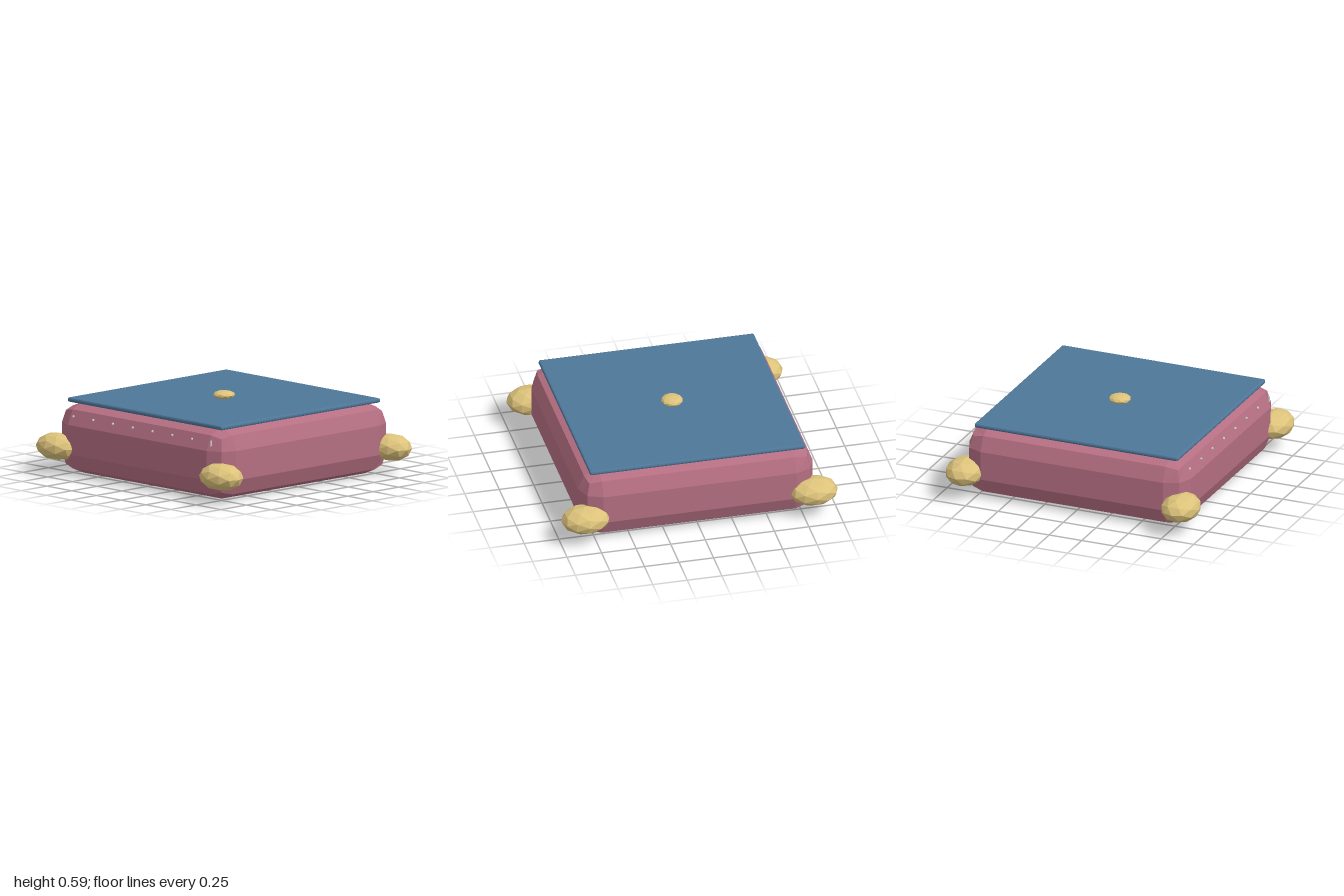
import * as THREE from 'three';
import { RoundedBoxGeometry } from 'three/addons/geometries/RoundedBoxGeometry.js';

const mat = (color) => new THREE.MeshStandardMaterial({ color, flatShading: true });

export function createModel() {
  const group = new THREE.Group();
  const rose = mat(0xb56f82), blue = mat(0x4f7799), gold = mat(0xdcc27a), grey = mat(0xcccccc);

  const add = (name, geometry, material, x, y, z) => {
    const mesh = new THREE.Mesh(geometry, material);
    mesh.name = name;
    mesh.position.set(x, y, z);
    group.add(mesh);
    return mesh;
  };

  // Chamfered box body
  add('body', new RoundedBoxGeometry(1.7, 0.51, 1.7, 1, 0.15), rose, 0, 0.255, 0);

  // Thin square lid, hovering on the body's top edge
  add('lid', new RoundedBoxGeometry(1.56, 0.032, 1.56, 1, 0.012), blue, 0, 0.522, 0);

  // Faceted, flattened knob and corner feet
  const pebble = new THREE.IcosahedronGeometry(1, 1);
  add('knob', pebble, gold, 0, 0.56, 0).scale.set(0.078, 0.031, 0.08);
  for (const sx of [-1, 1]) {
    for (const sz of [-1, 1]) {
      const name = (sz > 0 ? 'front' : 'back') + (sx > 0 ? 'Left' : 'Right') + 'Foot';
      add(name, pebble, gold, sx * 0.825, 0.188, sz * 0.827).scale.set(0.175, 0.098, 0.138);
    }
  }

  // Row of small studs along the front's upper bevel, ending in a pin
  const studGeometry = new THREE.IcosahedronGeometry(0.01, 1);
  for (let i = 0; i < 7; i++) {
    add('stud', studGeometry, grey, -0.67 + i * 0.2, 0.42, 0.826);
  }
  add('pin', new THREE.CylinderGeometry(0.008, 0.008, 0.04, 8), grey, 0.722, 0.415, 0.828);

  return group;
}
